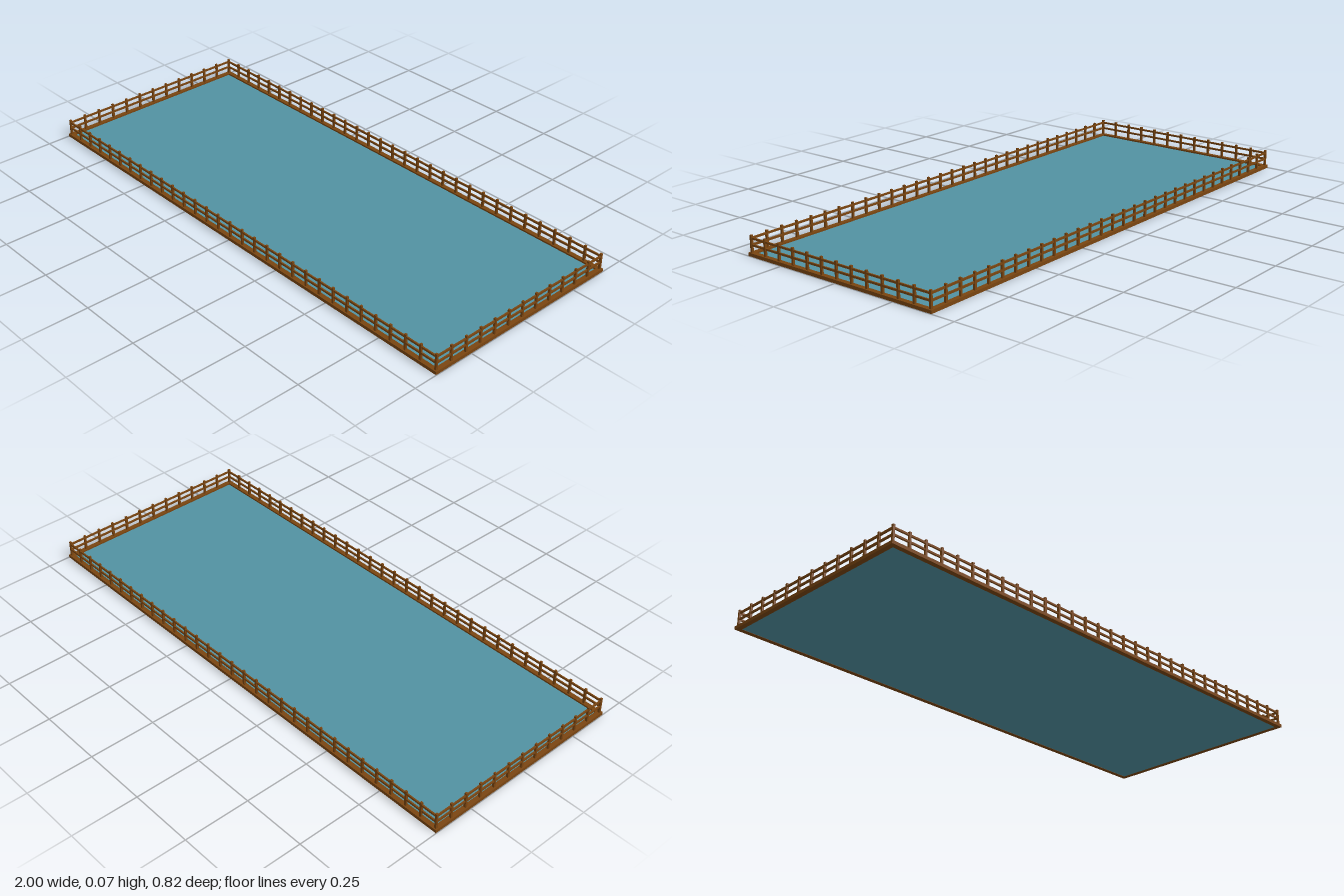
import * as THREE from 'three';

export function createModel() {
  const model = new THREE.Group();
  const wood = new THREE.MeshStandardMaterial({ color: 0x7a4510 });
  wood.name = 'brown wood';
  const water = new THREE.MeshStandardMaterial({ color: 0x5292a2 });
  water.name = 'teal water';

  const X = 0.99, Z = 0.4;            // fence centre lines
  const BEAM = 0.018, BEAM_H = 0.012; // kerb section
  const POST = 0.008, POST_H = 0.073;
  const RAIL = 0.007;

  function box(parent, name, size, pos, material = wood) {
    const mesh = new THREE.Mesh(new THREE.BoxGeometry(...size), material);
    mesh.name = name;
    mesh.position.set(...pos);
    parent.add(mesh);
  }

  // Water sheet inside the kerb
  box(model, 'waterSurface', [2 * X, 0.005, 2 * Z], [0, 0.0035, 0], water);

  // One straight run along local x: kerb beam, two rails and evenly spaced posts
  function fenceSide(name, half, spans, kerbLength, first, last) {
    const side = new THREE.Group();
    side.name = name;
    box(side, 'kerbBeam', [kerbLength, BEAM_H, BEAM], [0, BEAM_H / 2, 0]);
    for (const y of [0.038, 0.062])
      box(side, 'rail', [2 * half, RAIL, RAIL * 0.8], [0, y, 0]);
    for (let i = first; i <= last; i++)
      box(side, 'post', [POST, POST_H, POST], [-half + (2 * half * i) / spans, POST_H / 2, 0]);
    model.add(side);
    return side;
  }

  // Long sides carry the corner posts
  for (const s of [1, -1]) {
    fenceSide(s > 0 ? 'frontFence' : 'backFence', X, 30, 2 * X + BEAM, 0, 30).position.z = s * Z;
    const end = fenceSide(s > 0 ? 'leftFence' : 'rightFence', Z, 12, 2 * Z - BEAM, 1, 11);
    end.position.x = s * X;
    end.rotation.y = Math.PI / 2;
  }
  return model;
}
